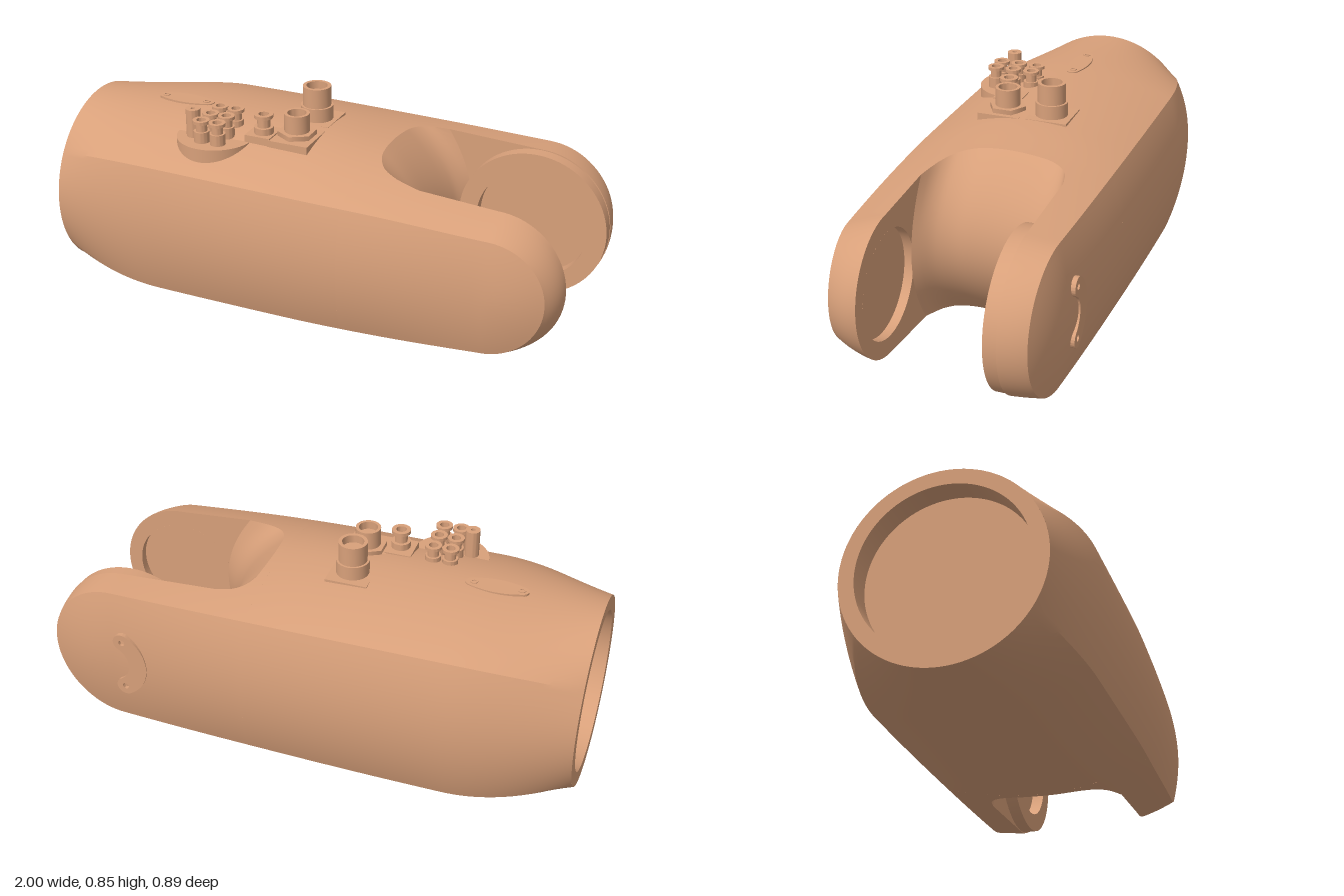
import * as THREE from 'three';
import { toCreasedNormals } from 'three/addons/utils/BufferGeometryUtils.js';

const YC = 0.37;      // height of the long axis
const SEAM = 0.2;     // where the barrel ends and the fork starts
const JOINT = 0.72;   // x of the fork joint axis
const lerp = THREE.MathUtils.lerp;
const mat = new THREE.MeshStandardMaterial({ color: 0xd8a07a });
const openMat = new THREE.MeshStandardMaterial({ color: 0xd8a07a, side: THREE.DoubleSide });

// Smooth function through a few [position, value] keys
function keys(...p) {
  const slope = i => {
    const a = p[Math.max(i - 1, 0)], b = p[Math.min(i + 1, p.length - 1)];
    return (b[1] - a[1]) / (b[0] - a[0]);
  };
  return x => {
    if (x <= p[0][0]) return p[0][1];
    if (x >= p[p.length - 1][0]) return p[p.length - 1][1];
    let i = 0;
    while (x > p[i + 1][0]) i++;
    const w = p[i + 1][0] - p[i][0], t = (x - p[i][0]) / w, t2 = t * t, t3 = t2 * t;
    return (2 * t3 - 3 * t2 + 1) * p[i][1] + (t3 - 2 * t2 + t) * w * slope(i)
      + (3 * t2 - 2 * t3) * p[i + 1][1] + (t3 - t2) * w * slope(i + 1);
  };
}

// Shell profiles along x: crown half height, then crease height, crease z and bulge z per side
const crown = keys([-1, 0.355], [-0.5, 0.366], [0, 0.355], [0.25, 0.335], [0.72, 0.3]);
const front = {
  s: 1, inner: 0.24, tip: [0.975, 0.935],
  h: keys([-1, 0.25], [-0.3, 0.247], [0.3, 0.238], [0.72, 0.218]),
  z: keys([-1, 0.385], [0, 0.4], [0.3, 0.395], [0.72, 0.38], [0.94, 0.36]),
  b: keys([-1, 0.42], [-0.5, 0.432], [0, 0.44], [0.3, 0.435], [0.72, 0.41]),
};
const back = {
  s: -1, inner: 0.265, tip: [1, 0.985],
  h: keys([-1, 0.29], [-0.3, 0.29], [0.3, 0.284], [0.72, 0.277]),
  z: keys([-1, 0.39], [-0.3, 0.395], [0.3, 0.39], [0.72, 0.38], [1, 0.365]),
  b: keys([-1, 0.44], [-0.3, 0.448], [0.3, 0.44], [0.72, 0.42]),
};
function halfHeight(x, z) {
  const f = z >= 0 ? front : back;
  return lerp(crown(x), f.h(x), (z / f.z(x)) ** 2);
}

function add(group, name, geo, material = mat) {
  const m = new THREE.Mesh(geo, material);
  m.name = name;
  group.add(m);
  return m;
}

// Surface from rows of [x, y, z] points, y measured from the long axis
function skin(rows, flip = false) {
  const n = rows[0].length, pos = [], idx = [];
  rows.forEach(r => r.forEach(p => pos.push(p[0], p[1] + YC, p[2])));
  for (let r = 0; r < rows.length - 1; r++) for (let c = 0; c < n - 1; c++) {
    const a = r * n + c, b = a + 1, d = a + n, e = d + 1;
    idx.push(...(flip ? [a, d, b, b, d, e] : [a, b, d, b, e, d]));
  }
  const g = new THREE.BufferGeometry();
  g.setAttribute('position', new THREE.Float32BufferAttribute(pos, 3));
  g.setIndex(idx);
  return toCreasedNormals(g, 0.45);
}

// One cross-section of the barrel: a circle at the socket easing into the creased shell
function section(x) {
  const u = Math.min((x + 1) / 0.45, 1), t = 1 - (1 - u) ** 2, pts = [];
  const put = (z, y, ang) =>
    pts.push([x, lerp(0.355 * Math.sin(ang), y, t), lerp(0.355 * Math.cos(ang), z, t)]);
  const corner = f => Math.atan2(f.h(x), f.z(x));
  const cap = dir => {
    for (let i = -16; i < 16; i++) {
      const q = dir * i / 16, f = q >= 0 ? front : back, z = q * f.z(x);
      put(z, dir * halfHeight(x, z), dir * (Math.PI / 2 - q * (Math.PI / 2 - corner(f))));
    }
  };
  const side = f => {
    for (let i = 16; i > -16; i--) {
      const v = f.s * i / 16, a = v * corner(f);
      put(f.s * lerp(f.b(x), f.z(x), v * v), v * f.h(x), f.s > 0 ? a : Math.PI - a);
    }
  };
  cap(1); side(front); cap(-1); side(back);
  pts.push(pts[0].slice());
  return pts;
}

// One fork arm: outline swept outwards from the inner face, closed by a domed cheek
function arm(f) {
  const outline = (k) => {
    const pts = [], R = lerp(f.tip[0], f.tip[1], k * k) - JOINT;
    const zAt = x => f.s * lerp(f.inner, f.z(x), k);
    for (let i = 0; i < 16; i++) {
      const x = lerp(SEAM, JOINT, i / 16);
      pts.push([x, halfHeight(x, zAt(x)), zAt(x)]);
    }
    for (let i = 0; i <= 40; i++) {
      const a = i / 40 * Math.PI, x = JOINT + R * Math.sin(a);
      pts.push([x, halfHeight(JOINT, zAt(JOINT)) * Math.cos(a), zAt(x)]);
    }
    for (let i = 15; i >= 0; i--) pts.push([pts[i][0], -pts[i][1], pts[i][2]]);
    return pts;
  };
  const rows = [];
  for (let j = 0; j <= 8; j++) rows.push(outline(j / 8));
  const rim = rows[8];
  for (let j = 1; j <= 12; j++) {
    const s = 1 - j / 12;
    rows.push(rim.map(([x, y, z]) => {
      const x0 = Math.min(x, JOINT);
      return [x0 + (x - x0) * s, y * s, lerp(f.s * f.b(x0), z, s * s)];
    }));
  }
  return { geo: skin(rows, f.s > 0), face: rows[0].map(p => new THREE.Vector2(p[0], p[1] + YC)) };
}

const circlePath = (r, x = JOINT, y = YC, C = THREE.Path) => new C().absarc(x, y, r, 0, Math.PI * 2);

// Stepped round fitting with a bored top; steps are [radius, top y]
function fitting(group, name, x, z, y0, steps, bore = 0.6) {
  const p = [];
  let y = y0;
  for (const [r, top] of steps) {
    p.push(new THREE.Vector2(r, y), new THREE.Vector2(r, top));
    y = top;
  }
  const rb = steps[steps.length - 1][0] * bore;
  p.push(new THREE.Vector2(rb, y), new THREE.Vector2(rb, y - 0.03), new THREE.Vector2(0, y - 0.03));
  const m = add(group, name, toCreasedNormals(new THREE.LatheGeometry(p, 28), 0.5));
  m.position.set(x, 0, z);
}

function block(group, name, x, y, z, w, h, d) {
  add(group, name, new THREE.BoxGeometry(w, h, d)).position.set(x, y, z);
}

export function createModel() {
  const g = new THREE.Group();
  g.name = 'forkedArmLink';

  // Barrel
  const rows = [];
  for (let i = 0; i <= 48; i++) rows.push(section(lerp(-1, SEAM, (i / 48) ** 1.4)));
  add(g, 'barrel', skin(rows), openMat);

  // Round socket in the barrel end
  const rim = add(g, 'socketRim', new THREE.RingGeometry(0.3, 0.355, 96), openMat);
  const wall = add(g, 'socketWall', new THREE.CylinderGeometry(0.3, 0.3, 0.09, 96, 1, true).rotateX(Math.PI / 2), openMat);
  const floor = add(g, 'socketFloor', new THREE.CircleGeometry(0.3, 96));
  [[rim, -1], [wall, -0.955], [floor, -0.91]].forEach(([m, x]) => {
    m.rotation.y = -Math.PI / 2;
    m.position.set(x, YC, 0);
  });

  // Fork throat: rounded nose, hollowed between the arms
  const lip = keys([-0.265, 0.36], [-0.255, 0.31], [-0.22, 0.262], [-0.15, 0.235], [0.08, 0.232], [0.17, 0.27], [0.215, 0.34], [0.24, 0.43]);
  const nose = keys([-0.265, 0.46], [-0.2, 0.42], [-0.05, 0.405], [0.1, 0.43], [0.18, 0.47], [0.24, 0.535]);
  const throat = [];
  for (let j = 0; j <= 40; j++) {
    const z = lerp(-0.265, 0.24, j / 40), a = lip(z), top = [], mid = [];
    for (let i = 0; i < 6; i++) {
      const x = lerp(SEAM, a, i / 6);
      top.push([x, halfHeight(x, z), z]);
    }
    for (let i = 0; i <= 28; i++) {
      const s = 1 - i / 14;
      mid.push([lerp(nose(z), a, s * s), s * halfHeight(a, z), z]);
    }
    throat.push([...top, ...mid, ...top.map(p => [p[0], -p[1], z]).reverse()]);
  }
  add(g, 'forkThroat', skin(throat, true), openMat);

  // Front arm with a round recess in its inner face
  const fa = arm(front);
  add(g, 'frontArm', fa.geo, openMat);
  const faceShape = new THREE.Shape(fa.face);
  faceShape.holes.push(circlePath(0.2));
  add(g, 'frontArmInnerFace', new THREE.ShapeGeometry(faceShape, 48), openMat).position.z = 0.24;
  add(g, 'frontRecessWall', new THREE.CylinderGeometry(0.2, 0.2, 0.035, 64, 1, true).rotateX(Math.PI / 2), openMat)
    .position.set(JOINT, YC, 0.2575);
  add(g, 'frontRecessFloor', new THREE.CircleGeometry(0.2, 64), openMat).position.set(JOINT, YC, 0.275);

  // Back arm with a raised bearing ring
  const ba = arm(back);
  add(g, 'backArm', ba.geo, openMat);
  add(g, 'backArmInnerFace', new THREE.ShapeGeometry(new THREE.Shape(ba.face))).position.z = -0.265;
  const ring = circlePath(0.286, 0.712, YC, THREE.Shape);
  ring.holes.push(circlePath(0.215, 0.712));
  add(g, 'bearingRing', toCreasedNormals(new THREE.ExtrudeGeometry(ring, { depth: 0.05, bevelEnabled: false, curveSegments: 48 }), 0.5))
    .position.z = -0.267;

  // Kidney-shaped cover on the back arm, with two screw holes
  const bean = new THREE.Shape(), r = 0.115, w = 0.035, a0 = 2.1, a1 = 4.18;
  const on = a => [JOINT + 0.012 + r * Math.cos(a), YC + r * Math.sin(a)];
  bean.absarc(JOINT + 0.012, YC, r + w, a0, a1, false);
  bean.absarc(...on(a1), w, a1, a1 + Math.PI, false);
  bean.absarc(JOINT + 0.012, YC, r - w, a1, a0, true);
  bean.absarc(...on(a0), w, a0 + Math.PI, a0 + 2 * Math.PI, false);
  [a0, a1].forEach(a => bean.holes.push(circlePath(0.012, ...on(a))));
  add(g, 'kidneyCover', toCreasedNormals(new THREE.ExtrudeGeometry(bean, { depth: 0.04, bevelEnabled: false, curveSegments: 20 }), 0.5))
    .position.z = -0.43;

  // Round boss with a cluster of small fittings
  add(g, 'clusterBoss', new THREE.CylinderGeometry(0.145, 0.145, 0.12, 64)).position.set(-0.39, 0.643, 0.19);
  for (const x of [-0.41, -0.345]) for (const z of [0.115, 0.19, 0.262])
    fitting(g, 'clusterFitting', x, z, 0.7, [[0.029, 0.745], [0.021, 0.775], [0.031, 0.787]], 0.55);
  fitting(g, 'clusterPost', -0.462, 0.228, 0.7, [[0.027, 0.81]], 0.3);

  // Single small fitting on a plate
  block(g, 'smallPlate', -0.215, 0.705, 0.15, 0.1, 0.05, 0.11);
  fitting(g, 'smallFitting', -0.21, 0.155, 0.7, [[0.036, 0.755], [0.024, 0.79], [0.035, 0.803]], 0.55);

  // Hex-based connector
  block(g, 'hexPlate', -0.093, 0.7, 0.125, 0.158, 0.05, 0.165);
  add(g, 'hexNut', new THREE.CylinderGeometry(0.072, 0.072, 0.03, 6).toNonIndexed()).position.set(-0.095, 0.728, 0.115);
  fitting(g, 'hexConnector', -0.095, 0.115, 0.72, [[0.047, 0.812]], 0.75);

  // Tall connector
  block(g, 'tallPlate', -0.095, 0.705, -0.063, 0.158, 0.044, 0.16);
  fitting(g, 'tallConnector', -0.095, -0.06, 0.7, [[0.061, 0.78], [0.053, 0.855]], 0.75);

  // Slim cover with two screws on top of the barrel
  const slim = new THREE.Shape();
  slim.moveTo(-0.1, -0.022);
  slim.quadraticCurveTo(0, -0.06, 0.1, -0.022);
  slim.absarc(0.092, 0, 0.024, -1.2, 1.2, false);
  slim.quadraticCurveTo(0, 0.06, -0.1, 0.022);
  slim.absarc(-0.092, 0, 0.024, Math.PI - 1.2, Math.PI + 1.2, false);
  add(g, 'slimCover', toCreasedNormals(new THREE.ExtrudeGeometry(slim, { depth: 0.02, bevelEnabled: false }).rotateX(-Math.PI / 2), 0.5))
    .position.set(-0.615, 0.72, 0.003);
  for (const x of [-0.705, -0.53])
    fitting(g, 'coverScrew', x, 0.003, 0.72, [[0.014, 0.743]], 0.5);

  return g;
}
